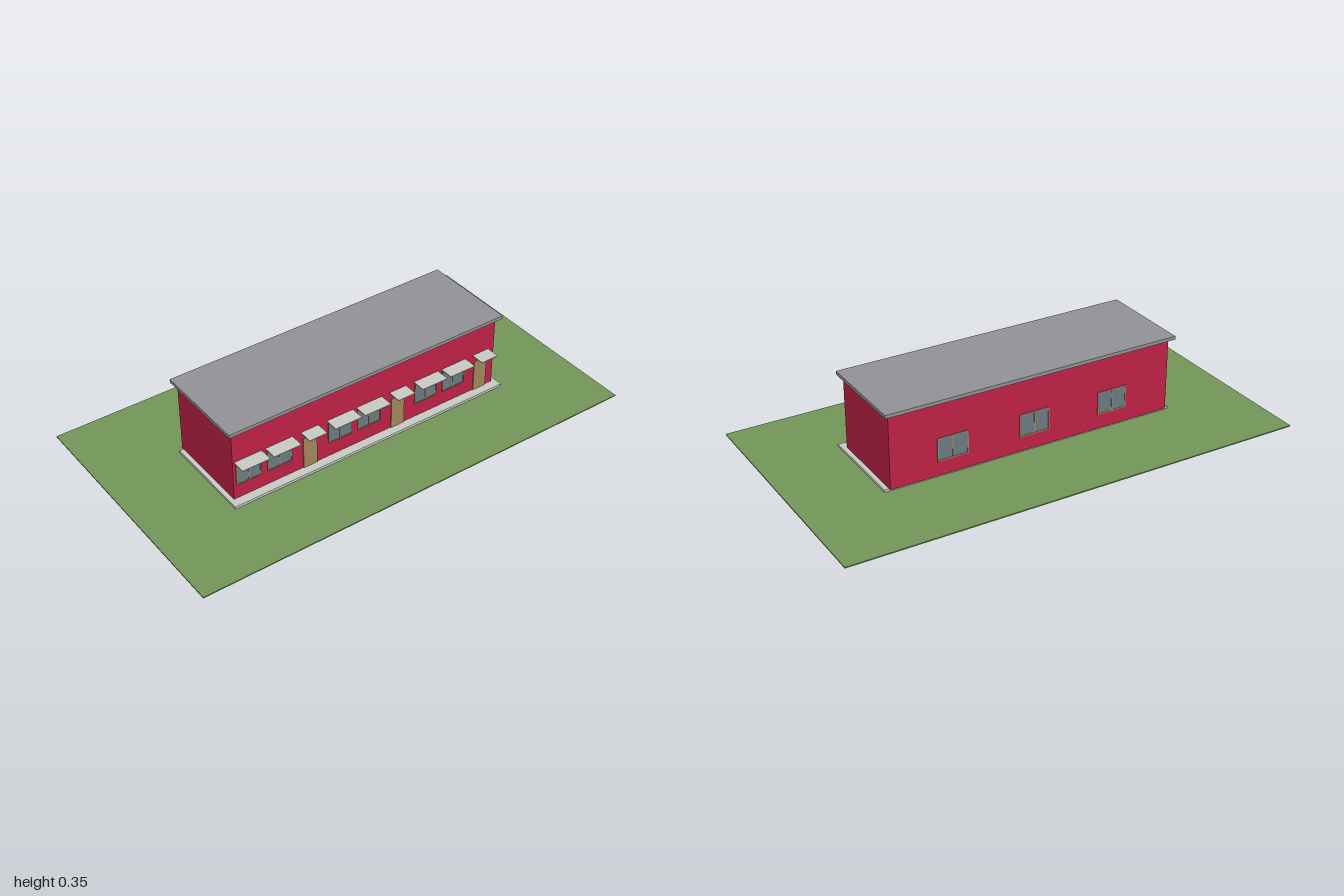
import * as THREE from 'three';

const mat = (name, color) => {
  const m = new THREE.MeshStandardMaterial({ color });
  m.name = name;
  return m;
};

export function createModel() {
  const grass = mat('grass green', 0x719659);
  const red = mat('wall red', 0xbe2145);
  const grey = mat('roof grey', 0x919196);
  const concrete = mat('pale concrete', 0xc6c9c2);
  const wood = mat('wood tan', 0xa3855c);
  const glass = mat('window glass', 0x6b7a83);

  const model = new THREE.Group();
  model.name = 'longBuilding';

  // Box given by its min and max on each axis
  const box = (name, material, [x0, x1], [y0, y1], [z0, z1], parent = model) => {
    const mesh = new THREE.Mesh(new THREE.BoxGeometry(x1 - x0, y1 - y0, z1 - z0), material);
    mesh.position.set((x0 + x1) / 2, (y0 + y1) / 2, (z0 + z1) / 2);
    mesh.name = name;
    parent.add(mesh);
    return mesh;
  };

  // Main masses
  box('lawn', grass, [-0.555, 0.555], [0, 0.005], [-1, 1]);
  box('plinth', concrete, [-0.178, 0.23], [0.005, 0.016], [-0.655, 0.655]);
  box('walls', red, [-0.19, 0.19], [0.016, 0.335], [-0.635, 0.635]);
  box('roof', grey, [-0.21, 0.21], [0.335, 0.35], [-0.655, 0.655]);

  // Glass plate with a thin wooden frame and centre mullion, facing +x
  function makeWindow(width) {
    const g = new THREE.Group();
    g.name = 'window';
    const h = width / 2, y0 = 0.08, y1 = 0.18, t = 0.005;
    box('glass', glass, [0, 0.002], [y0, y1], [-h, h], g);
    for (const z of [-h, -t / 2, h - t]) box('frameUpright', wood, [0, 0.004], [y0, y1], [z, z + t], g);
    for (const y of [y0, y1 - t]) box('frameRail', wood, [0, 0.004], [y, y + t], [-h, h], g);
    return g;
  }

  const awning = (z, width) =>
    box('awning', concrete, [0.19, 0.25], [0.19, 0.194], [z - width / 2, z + width / 2]);

  // Three repeated units on the entrance side: two windows and a door each
  for (const z of [0.425, 0, -0.425]) {
    for (const wz of z === -0.425 ? [-0.283, -0.425] : [z, z + 0.141]) {
      const w = makeWindow(0.112);
      w.position.set(0.19, 0, wz);
      model.add(w);
      awning(wz, 0.124);
    }
    const doorZ = z - 0.141;
    box('door', wood, [0.19, 0.194], [0.016, 0.16], [doorZ - 0.032, doorZ + 0.032]);
    awning(doorZ, 0.082);
  }

  // Windows on the plain side
  for (const z of [-0.365, 0, 0.365]) {
    const w = makeWindow(0.136);
    w.position.set(-0.19, 0, z);
    w.rotation.y = Math.PI;
    model.add(w);
  }

  return model;
}
